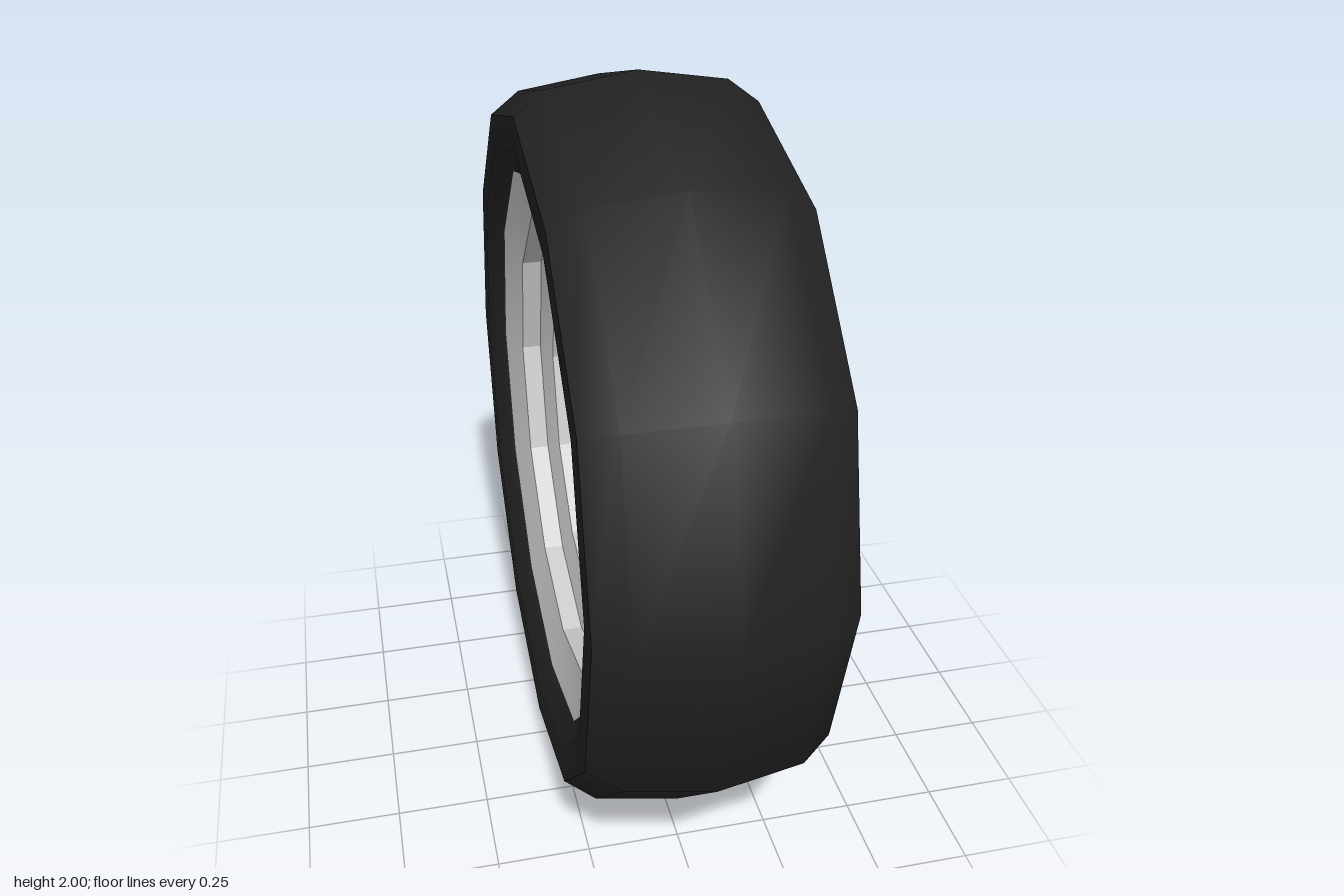
import * as THREE from 'three';
import { toCreasedNormals } from 'three/addons/utils/BufferGeometryUtils.js';

const SIDES = 12;
const DISC_R = 0.54;

const grey = new THREE.MeshStandardMaterial({ color: 0xcccccc });
const rubber = new THREE.MeshStandardMaterial({ color: 0x222222 });

// Turns a [radius, x] profile around the axle (the x axis).
function turned(name, profile, material, crease) {
  const points = profile.map(([r, x]) => new THREE.Vector2(r, x));
  const geometry = new THREE.LatheGeometry(points, SIDES).rotateZ(-Math.PI / 2);
  const mesh = new THREE.Mesh(toCreasedNormals(geometry, crease), material);
  mesh.name = name;
  return mesh;
}

// Radius of the twelve-sided disc edge at a given angle.
function edgeRadius(angle) {
  const step = (2 * Math.PI) / SIDES;
  const a = ((angle % step) + step) % step - step / 2;
  return DISC_R * Math.cos(step / 2) / Math.cos(a);
}

// Rounded opening pointing outwards at an angle, trimmed to the disc edge.
function openingPath(angle) {
  const half = [[0.055, 0.235], [0.1, 0.28], [0.165, 0.37], [0.2, 0.44], [0.197, 0.51], [0.12, 0.57]];
  const outline = [[0, 0.228], ...half, [0, 0.59], ...half.map(([t, r]) => [-t, r]).reverse()];
  const curve = new THREE.CatmullRomCurve3(
    outline.map(([t, r]) => new THREE.Vector3(t, r, 0)), true);
  const points = curve.getSpacedPoints(56).slice(0, -1).map((p) => {
    const a = angle + Math.atan2(p.x, p.y);
    const r = Math.min(Math.hypot(p.x, p.y), edgeRadius(a) - 0.003);
    return new THREE.Vector2(r * Math.cos(a), r * Math.sin(a));
  });
  return new THREE.Path(points);
}

// Disc with five openings that leave the spokes between them.
function spokeDisc(back, front) {
  const rim = [];
  for (let i = 0; i < SIDES; i++) {
    const a = (i / SIDES) * 2 * Math.PI;
    rim.push(new THREE.Vector2(DISC_R * Math.cos(a), DISC_R * Math.sin(a)));
  }
  const shape = new THREE.Shape(rim);
  for (let i = 0; i < 5; i++) {
    shape.holes.push(openingPath(-Math.PI / 2 + (i * 2 * Math.PI) / 5));
  }
  const geometry = new THREE.ExtrudeGeometry(shape, { depth: front - back, bevelEnabled: false });
  geometry.translate(0, 0, back).rotateY(Math.PI / 2);
  const mesh = new THREE.Mesh(toCreasedNormals(geometry, 0.45), grey);
  mesh.name = 'spokes';
  return mesh;
}

export function createModel() {
  const model = new THREE.Group();
  model.name = 'wheel';
  const wheel = new THREE.Group();
  wheel.name = 'wheelAssembly';
  wheel.position.y = 1;
  model.add(wheel);

  // Tyre: crowned tread, flat side walls and a lip sloping in to the rim
  const tyreHalf = [[1, 0], [0.965, 0.225], [0.905, 0.305], [0.82, 0.305], [0.75, 0.255]];
  const mirrored = tyreHalf.slice(1).reverse().map(([r, x]) => [r, -x]);
  wheel.add(turned('tyre', [...mirrored, ...tyreHalf, mirrored[0]], rubber, 0.72));

  // Rim: stepped flange on each side joined by the inner barrel
  wheel.add(turned('rim', [
    [0.75, 0.262], [0.625, 0.245], [0.625, 0.205], [DISC_R, 0.195],
    [DISC_R, -0.145], [0.625, -0.17], [0.625, -0.225], [0.75, -0.262],
  ], grey, 0.3));

  // Spoked disc set towards the outer side
  wheel.add(spokeDisc(0.03, 0.17));

  // Hub cap
  const cap = turned('hubCap', [[0.213, 0.16], [0.213, 0.202], [0, 0.202]], grey, 0.3);
  cap.position.set(0, 0.008, -0.008);
  wheel.add(cap);

  return model;
}
